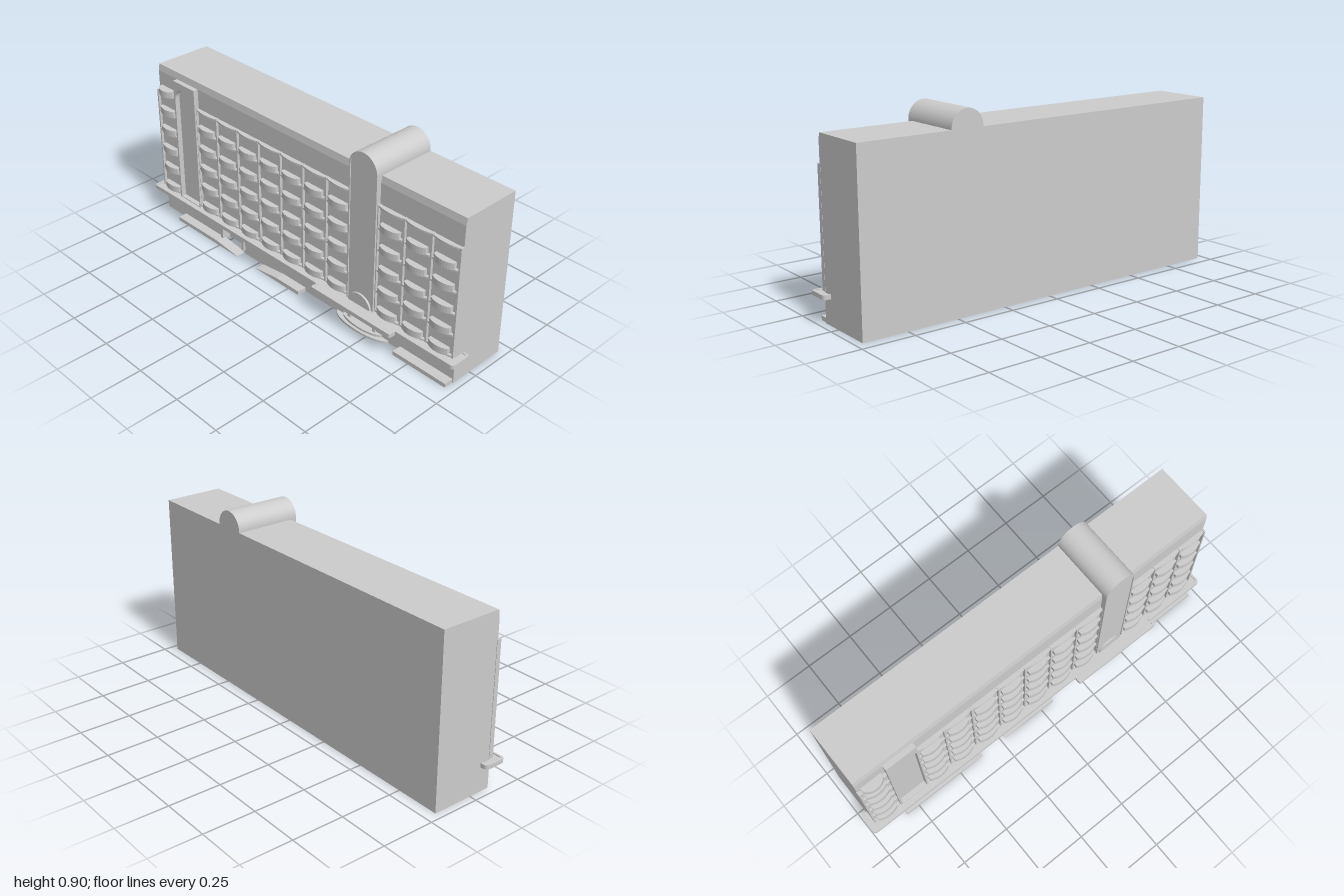
import * as THREE from 'three';

export function createModel() {
  const root = new THREE.Group();
  const mat = new THREE.MeshStandardMaterial({ color: 0xcccccc, side: THREE.DoubleSide });
  const add = (name, geo, parent = root) => {
    const m = new THREE.Mesh(geo, mat);
    m.name = name;
    parent.add(m);
    return m;
  };
  const group = (name) => {
    const g = new THREE.Group();
    g.name = name;
    root.add(g);
    return g;
  };
  // Box given by its limits; faces listed in skip are left open
  // (0 +x, 1 -x, 2 +y, 3 -y, 4 +z, 5 -z)
  const box = (x0, x1, y0, y1, z0, z1, skip = []) => {
    const g = new THREE.BoxGeometry(x1 - x0, y1 - y0, z1 - z0);
    g.translate((x0 + x1) / 2, (y0 + y1) / 2, (z0 + z1) / 2);
    const idx = Array.from(g.index.array);
    g.setIndex(idx.filter((_, i) => !skip.includes(Math.floor(i / 6))));
    g.clearGroups();
    return g;
  };
  // Upright shape (x, y) pushed from z0 to z1
  const upright = (shape, z0, z1) =>
    new THREE.ExtrudeGeometry(shape, { depth: z1 - z0, bevelEnabled: false, curveSegments: 16 }).translate(0, 0, z0);
  // Plan shape (x, z) raised from y0 to y1
  const plan = (shape, y0, y1) =>
    new THREE.ExtrudeGeometry(shape, { depth: y1 - y0, bevelEnabled: false, curveSegments: 8 })
      .rotateX(Math.PI / 2).translate(0, y1, 0);
  // Arched outline: straight sides up to spring height, then a half ellipse
  const arch = (cx, r, y0, spring, rise = r, Type = THREE.Shape) => {
    const s = new Type();
    s.moveTo(cx - r, y0);
    s.lineTo(cx + r, y0);
    s.lineTo(cx + r, spring);
    s.absellipse(cx, spring, r, rise, 0, Math.PI, false);
    s.lineTo(cx - r, y0);
    return s;
  };
  const polygon = (pts, Type = THREE.Shape) => new Type(pts.map((p) => new THREE.Vector2(...p)));
  const rect = (x0, x1, y0, y1, Type) => polygon([[x0, y0], [x1, y0], [x1, y1], [x0, y1]], Type);

  const X = 0.965, BACK = -0.195, FRONT = 0.105;

  // Hollow main block, open underneath
  add('buildingWalls', box(-X, X, 0, 0.78, BACK, FRONT, [2, 3, 4]));
  const roof = box(-X, X, 0.78, 0.813, BACK, FRONT, [3]);
  const rp = roof.attributes.position;
  for (let i = 0; i < rp.count; i++) if (rp.getY(i) > 0.8 && rp.getZ(i) > 0) rp.setZ(i, 0.099);
  roof.computeVertexNormals();
  add('roof', roof);

  // Front wall with two recessed doorways
  const doors = [[-0.52, -0.365], [0.365, 0.515]];
  const wall = rect(-X, X, 0, 0.78);
  for (const [a, b] of doors) wall.holes.push(rect(a, b, 0.005, 0.12, THREE.Path));
  add('frontWall', new THREE.ShapeGeometry(wall).translate(0, 0, FRONT));
  const entrances = group('entrances');
  for (const [a, b] of doors) {
    add('doorRecess', box(a, b, 0.005, 0.12, 0.065, FRONT, [3, 4]), entrances);
    for (const x of [a, b]) add('doorPost', box(x - 0.008, x + 0.008, 0.02, 0.12, 0.1, 0.116), entrances);
  }
  for (const x of [0.357, 0.523]) add('canopyBracket', box(x - 0.008, x + 0.008, 0.1, 0.12, 0.1, 0.165), entrances);

  // Round-topped stair tower with a raised rim
  const tower = group('stairTower');
  add('towerBody', upright(arch(0.44, 0.08, 0.13, 0.818), BACK, 0.125), tower);
  const rim = arch(0.44, 0.08, 0.13, 0.818);
  rim.holes.push(arch(0.44, 0.073, 0.131, 0.818, 0.073, THREE.Path));
  add('towerRim', upright(rim, 0.125, 0.13), tower);
  add('entranceArch', upright(arch(0.44, 0.065, 0.135, 0.136, 0.058), 0.12, 0.135), tower);

  // Arched niche near one end
  const niche = rect(-0.822, -0.665, 0.135, 0.78);
  niche.holes.push(arch(-0.742, 0.07, 0.14, 0.69, 0.06, THREE.Path));
  add('nicheFrame', upright(niche, FRONT - 0.002, 0.13));

  // Bays: fins, scalloped floor slabs and bowed balconies
  const W = 0.147, FLOOR = 0.1065, BASE = 0.14;
  const bowed = (x0, x1, zBack, zEdge, zMid) => {
    const s = new THREE.Shape();
    s.moveTo(x0, zBack);
    s.lineTo(x1, zBack);
    s.lineTo(x1, zEdge);
    s.bezierCurveTo(x1 - (x1 - x0) * 0.3, zMid, x0 + (x1 - x0) * 0.3, zMid, x0, zEdge);
    s.lineTo(x0, zBack);
    return s;
  };
  const bays = group('balconyBays');
  const buildBay = (x, extraTop) => {
    for (const fx of [x, x + W]) add('bayFin', box(fx - 0.004, fx + 0.004, BASE, 0.683, 0.1, 0.122), bays);
    add('bayWall', box(x, x + W, BASE, 0.68, 0.1, 0.109), bays);
    for (let f = 0; f <= 5; f++) {
      const y = BASE + f * FLOOR;
      add('floorSlab', plan(bowed(x, x + W, 0.1, 0.118, 0.134), y, y + 0.008), bays);
      if (f < 5 || extraTop) {
        const bulge = f === 5 ? 0.156 : 0.145;
        add('balcony', plan(bowed(x + 0.018, x + W - 0.024, 0.105, 0.126, bulge), y + 0.003, y + 0.036), bays);
      }
    }
  };
  buildBay(-0.963, true);
  for (let i = 0; i < 7; i++) buildBay(-0.667 + i * W, false);
  for (let i = 0; i < 3; i++) buildBay(0.521 + i * W, false);

  // Canopy with rounded ends, a deeper part over the entrance and a thin lip
  const canopyOutline = (d, Type) => {
    const s = new Type(), x = 1 - d, z0 = 0.052 + d, z1 = 0.16 - d, z2 = 0.195 - d, r = 0.02 - d / 2;
    const a = 0.2 + d, b = 0.68 - d;
    s.moveTo(-x + r, z0);
    s.lineTo(x - r, z0);
    s.quadraticCurveTo(x, z0, x, z0 + r);
    s.lineTo(x, z1 - r);
    s.quadraticCurveTo(x, z1, x - r, z1);
    s.lineTo(b, z1);
    s.lineTo(b, z2 - r / 2);
    s.quadraticCurveTo(b, z2, b - r / 2, z2);
    s.lineTo(a + r / 2, z2);
    s.quadraticCurveTo(a, z2, a, z2 - r / 2);
    s.lineTo(a, z1);
    s.lineTo(-x + r, z1);
    s.quadraticCurveTo(-x, z1, -x, z1 - r);
    s.lineTo(-x, z0 + r);
    s.quadraticCurveTo(-x, z0, -x + r, z0);
    return s;
  };
  const canopy = group('canopy');
  add('canopySlab', plan(canopyOutline(0, THREE.Shape), 0.12, 0.136), canopy);
  const lip = canopyOutline(0, THREE.Shape);
  lip.holes.push(canopyOutline(0.01, THREE.Path));
  add('canopyLip', plan(lip, 0.136, 0.14), canopy);

  // Low steps and ramps along the pavement
  const steps = group('steps');
  for (const [a, b] of [[-0.82, -0.52], [-0.08, 0.07], [0.665, 0.96]])
    add('step', box(a, b, 0, 0.02, 0.1, 0.152), steps);
  for (const [a, b, ha, hb] of [[-0.52, -0.365, 0.02, 0.002], [-0.225, -0.08, 0.002, 0.02]])
    add('ramp', upright(polygon([[a, 0], [b, 0], [b, hb], [a, ha]]), 0.1, 0.152), steps);
  for (const [w, h] of [[0.16, 0.01], [0.12, 0.02]]) {
    const s = new THREE.Shape();
    s.absellipse(0.44, 0.1, w, w * 0.33, 0, Math.PI, false);
    add('roundStep', plan(s, 0, h), steps);
  }
  return root;
}
